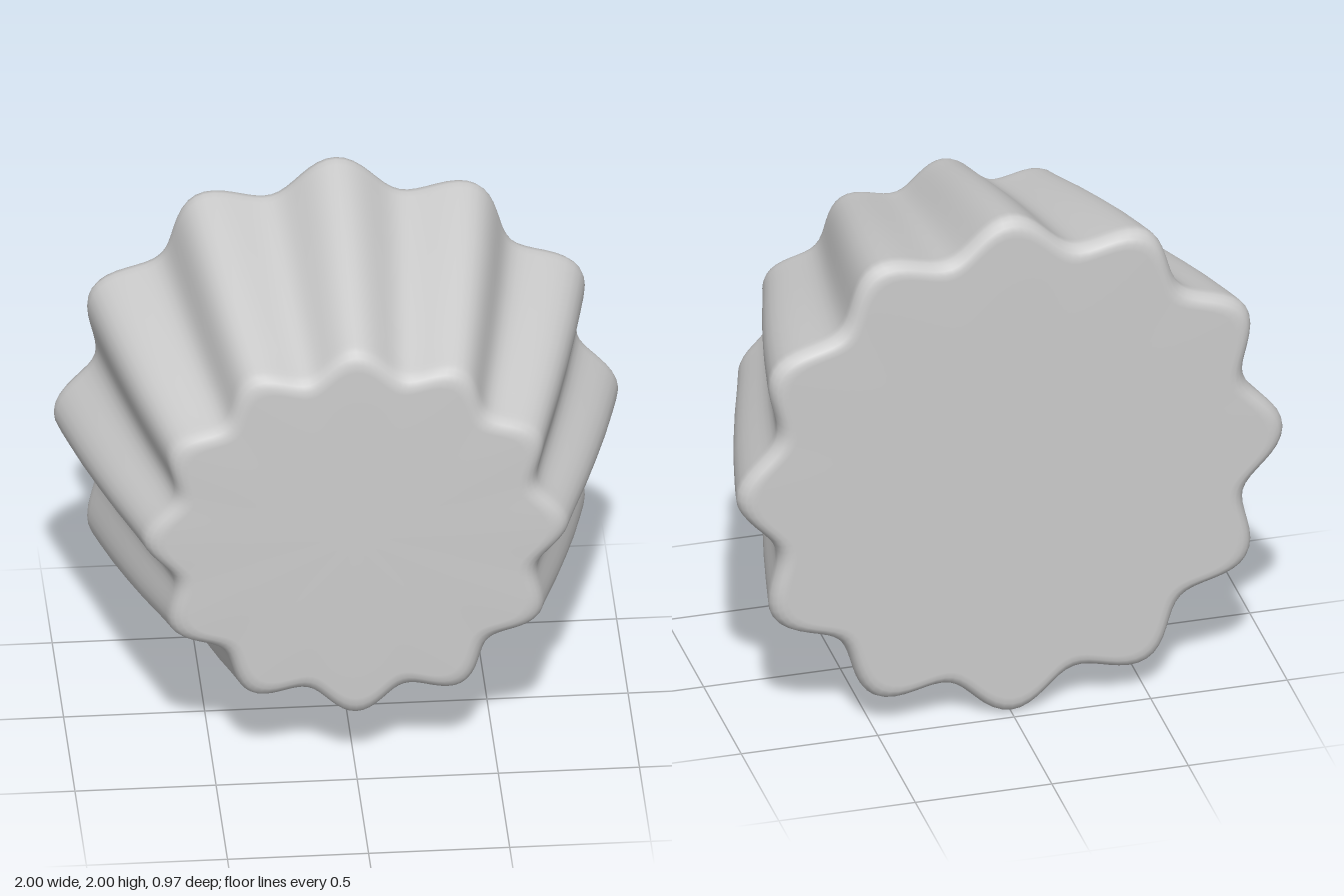
import * as THREE from 'three';
import { mergeVertices } from 'three/addons/utils/BufferGeometryUtils.js';

const FLUTES = 12;

// Crest radius and depth, listed from the back face to the front face
const profile = [
  [0, -0.487], [0.5, -0.487], [0.93, -0.487], [0.955, -0.485], [0.975, -0.478],
  [0.99, -0.463], [0.998, -0.445], [1.0, -0.43], [0.995, -0.405],
  [0.975, -0.32], [0.935, -0.16], [0.89, 0], [0.842, 0.16], [0.79, 0.32],
  [0.762, 0.41], [0.755, 0.435], [0.745, 0.455], [0.728, 0.471],
  [0.705, 0.48], [0.675, 0.484], [0.4, 0.486], [0, 0.486],
];

function flutedBody() {
  const points = profile.map(([r, z]) => new THREE.Vector2(r, z));
  let geo = new THREE.LatheGeometry(points, FLUTES * 16);

  // Pull the wall inward between the crests
  const pos = geo.attributes.position;
  for (let i = 0; i < pos.count; i++) {
    const x = pos.getX(i), z = pos.getZ(i);
    const wave = 0.9425 + 0.0575 * Math.cos(FLUTES * Math.atan2(x, z));
    pos.setX(i, x * wave);
    pos.setZ(i, z * wave);
  }

  // Weld the seam so the shading is smooth all round
  geo.deleteAttribute('uv');
  geo.deleteAttribute('normal');
  geo = mergeVertices(geo, 1e-5);
  geo.computeVertexNormals();

  // Lay the axis along z and stand the body on the ground
  geo.rotateX(Math.PI / 2);
  geo.translate(0, 1, 0);
  return geo;
}

export function createModel() {
  const group = new THREE.Group();
  group.name = 'flutedCup';
  const body = new THREE.Mesh(
    flutedBody(),
    new THREE.MeshStandardMaterial({ color: 0xcccccc })
  );
  body.name = 'flutedBody';
  group.add(body);
  return group;
}
